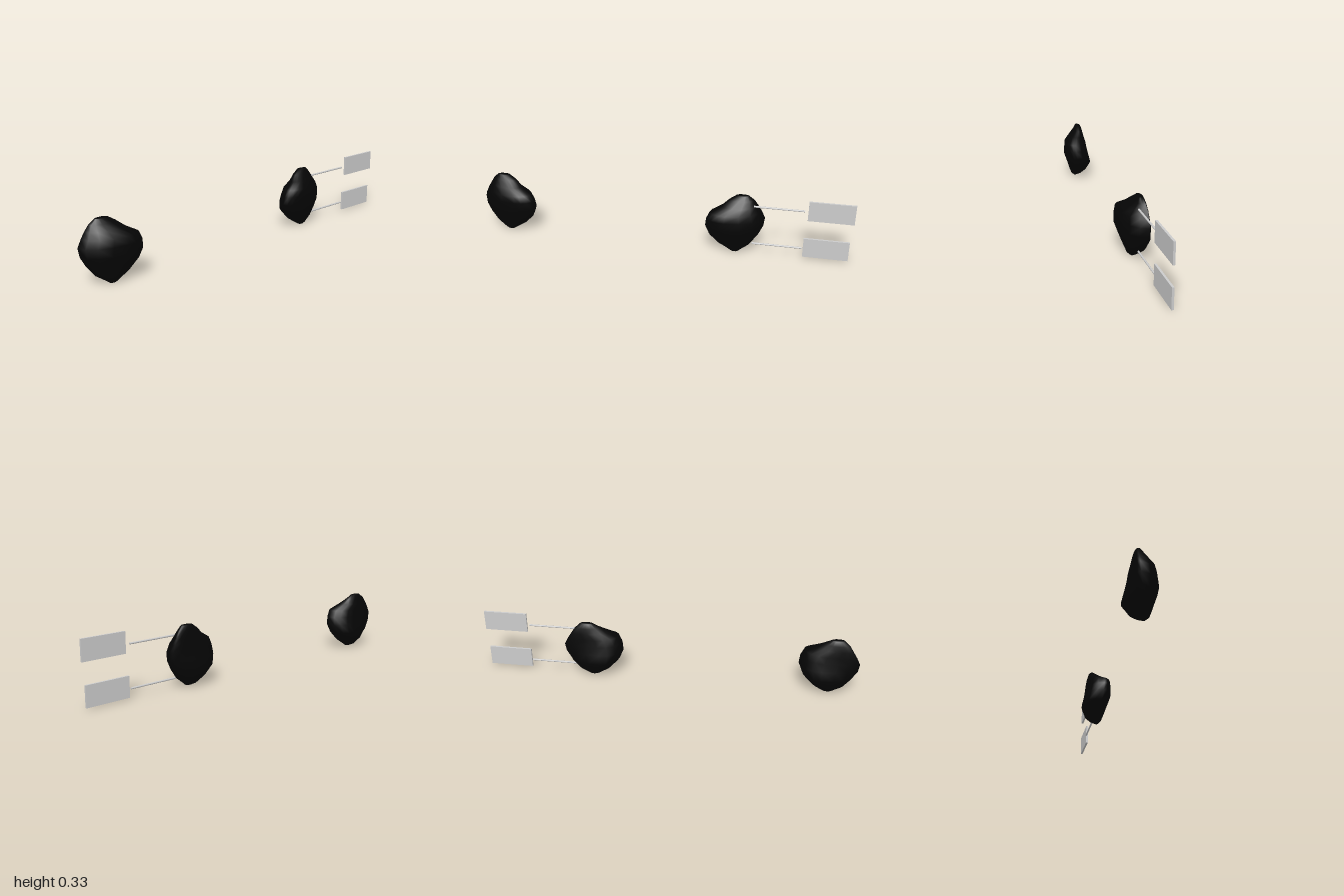
import * as THREE from 'three';

const SEGMENTS = 16;

// Horizontal cross-sections of the kneecap, from the apex up to the base:
// [y, inner x, z, outer x, z, front x, z, back x, z]
const SECTIONS = [
  [0.000, 0.385, 0.010, 0.420, 0.010, 0.40, 0.020, 0.40, -0.005],
  [0.012, 0.365, 0.000, 0.435, 0.000, 0.40, 0.033, 0.40, -0.032],
  [0.045, 0.312, 0.010, 0.482, -0.010, 0.39, 0.046, 0.39, -0.060],
  [0.097, 0.263, 0.020, 0.520, -0.020, 0.37, 0.064, 0.36, -0.080],
  [0.145, 0.243, 0.025, 0.543, -0.030, 0.36, 0.081, 0.36, -0.068],
  [0.190, 0.248, 0.030, 0.549, -0.035, 0.345, 0.079, 0.37, -0.058],
  [0.228, 0.265, 0.030, 0.530, -0.035, 0.35, 0.076, 0.38, -0.053],
  [0.260, 0.322, 0.010, 0.510, -0.035, 0.38, 0.044, 0.42, -0.048],
  [0.290, 0.358, -0.010, 0.490, -0.030, 0.41, 0.012, 0.43, -0.042],
  [0.314, 0.395, -0.018, 0.462, -0.020, 0.43, -0.004, 0.43, -0.034],
];

// Lofts the cross-sections; each ring is four elliptic quarters between its extremes
function kneecapGeometry() {
  const positions = [];
  const index = [];
  for (const [y, inX, inZ, outX, outZ, frX, frZ, bkX, bkZ] of SECTIONS) {
    for (let i = 0; i < SEGMENTS; i++) {
      const a = (i / SEGMENTS) * Math.PI * 2;
      const c = Math.cos(a), s = Math.sin(a);
      const [sideX, sideZ] = c >= 0 ? [outX, outZ] : [inX, inZ];
      const [midX, midZ] = s >= 0 ? [frX, frZ] : [bkX, bkZ];
      positions.push(
        midX + (sideX - midX) * Math.abs(c),
        y,
        sideZ + (midZ - sideZ) * Math.abs(s),
      );
    }
  }
  for (let r = 0; r < SECTIONS.length - 1; r++) {
    for (let i = 0; i < SEGMENTS; i++) {
      const j = (i + 1) % SEGMENTS;
      const a = r * SEGMENTS + i, b = r * SEGMENTS + j;
      index.push(a, a + SEGMENTS, b, b, a + SEGMENTS, b + SEGMENTS);
    }
  }
  // Close the apex and the base
  const top = (SECTIONS.length - 1) * SEGMENTS;
  for (let i = 1; i < SEGMENTS - 1; i++) {
    index.push(0, i, i + 1);
    index.push(top, top + i + 1, top + i);
  }
  const geometry = new THREE.BufferGeometry();
  geometry.setAttribute('position', new THREE.Float32BufferAttribute(positions, 3));
  geometry.setIndex(index);
  geometry.computeVertexNormals();
  return geometry;
}

export function createModel() {
  const model = new THREE.Group();
  model.name = 'kneecapPair';
  const bone = new THREE.MeshStandardMaterial({ color: 0x050505 });
  const grey = new THREE.MeshStandardMaterial({ color: 0xcccccc });

  const add = (name, geometry, material, x = 0, y = 0, z = 0) => {
    const mesh = new THREE.Mesh(geometry, material);
    mesh.name = name;
    mesh.position.set(x, y, z);
    model.add(mesh);
    return mesh;
  };

  // The two kneecaps mirror each other about x = -0.225
  const kneecap = kneecapGeometry();
  add('leftKneecap', kneecap, bone);
  add('rightKneecap', kneecap, bone, -0.45).scale.x = -1;

  // Pointer rods, each ending in a blank tag
  const rod = new THREE.CylinderGeometry(0.005, 0.005, 0.26, 12).rotateZ(Math.PI / 2);
  const tag = new THREE.BoxGeometry(0.233, 0.107, 0.011);
  add('basePointer', rod, grey, 0.62, 0.267, 0.002);
  add('apexPointer', rod, grey, 0.62, 0.051, 0.002);
  add('baseTag', tag, grey, 0.8835, 0.274, 0.012);
  add('apexTag', tag, grey, 0.873, 0.06, 0.008);

  return model;
}
